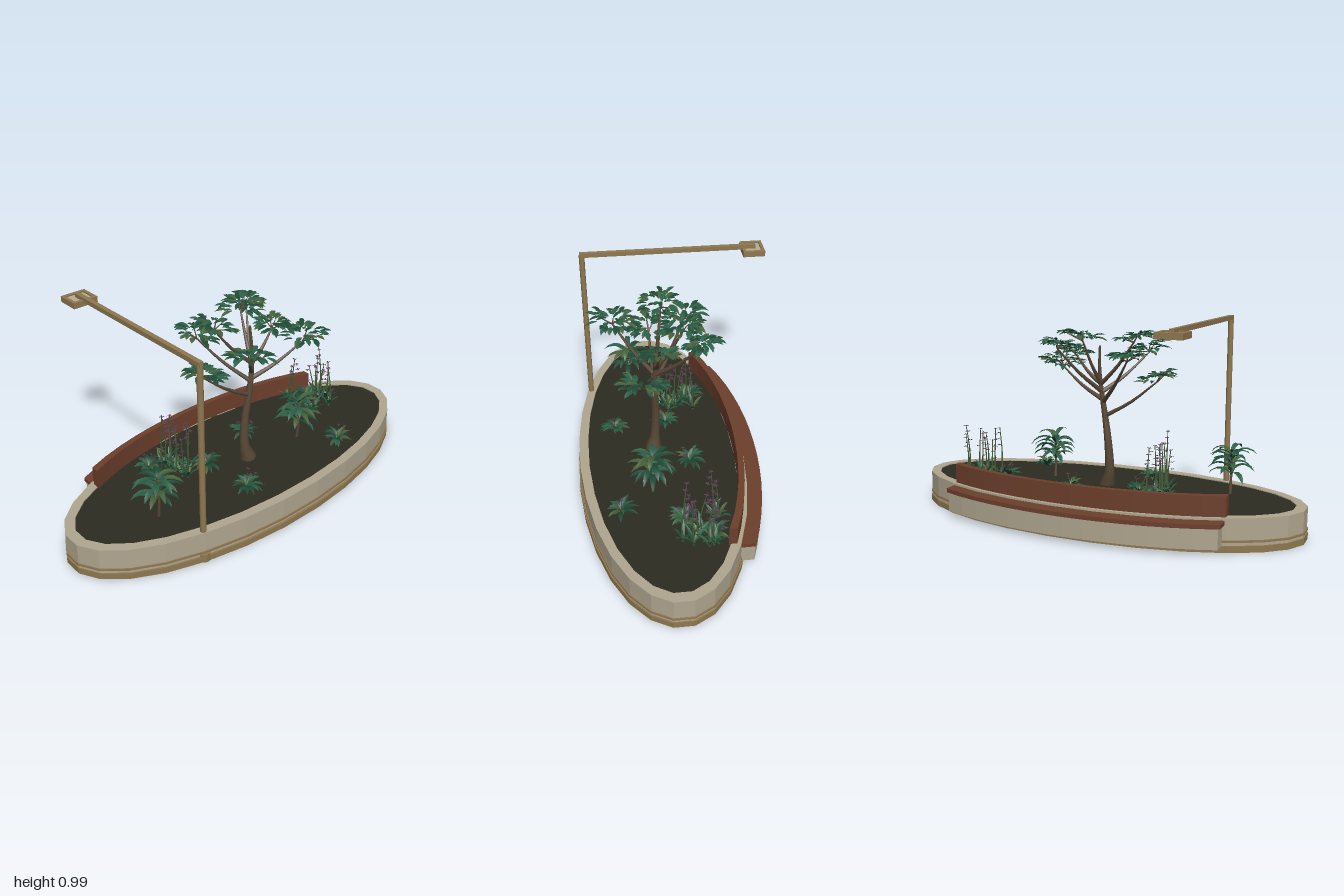
import * as THREE from 'three';
import { mergeGeometries } from 'three/addons/utils/BufferGeometryUtils.js';

const mat = (name, color, extra = {}) => {
  const m = new THREE.MeshStandardMaterial({ color, ...extra });
  m.name = name;
  return m;
};

export function createModel() {
  const model = new THREE.Group();
  const M = {
    stone: mat('pale stone', 0xb0a68f),
    soil: mat('dark soil', 0x2c2b20),
    wood: mat('red brown wood', 0x6c3f2c),
    brass: mat('aged brass', 0x8e7850),
    panel: mat('lamp panel', 0xb9ad90),
    bark: mat('bark', 0x5a4a38),
    dark: mat('dark leaf', 0x1f4a36, { side: THREE.DoubleSide }),
    mid: mat('mid leaf', 0x2c5f45, { side: THREE.DoubleSide }),
    olive: mat('olive leaf', 0x47603a, { side: THREE.DoubleSide }),
    flower: mat('plum flower', 0x5b3557, { side: THREE.DoubleSide }),
  };
  const leafMats = [M.dark, M.mid, M.dark, M.olive, M.mid];
  let seed = 7;
  const rnd = () => (seed = (seed * 16807) % 2147483647) / 2147483647;
  const span = (a, b) => a + (b - a) * rnd();
  const V = (x, y, z) => new THREE.Vector3(x, y, z);

  const add = (name, geo, material, parent = model) => {
    const mesh = new THREE.Mesh(geo, material);
    mesh.name = name;
    parent.add(mesh);
    return mesh;
  };
  const box = (name, w, h, d, x, y, z, m) => add(name, new THREE.BoxGeometry(w, h, d), m).position.set(x, y, z);

  // Elliptical planter, faceted in 28 sides
  const CX = 0.085, SIDES = 28;
  const ellipse = (a, b, n = SIDES) => Array.from({ length: n }, (_, i) => {
    const t = (i + 0.5) / n * Math.PI * 2, k = 1 / Math.cos(Math.PI / n);
    return new THREE.Vector2(CX + a * k * Math.cos(t), b * k * Math.sin(t));
  });
  const slab = (name, outline, y0, y1, m, hole) => {
    const shape = new THREE.Shape(outline);
    if (hole) shape.holes.push(new THREE.Path(hole));
    const g = new THREE.ExtrudeGeometry(shape, { depth: y1 - y0, bevelEnabled: false });
    g.rotateX(-Math.PI / 2).translate(0, y0, 0);
    return add(name, g, m);
  };
  slab('plinth', ellipse(0.415, 1.0), 0, 0.03, M.brass);
  slab('planterWall', ellipse(0.405, 0.995), 0.03, 0.155, M.stone, ellipse(0.36, 0.945));
  slab('trimBand', ellipse(0.411, 1.0), 0.045, 0.055, M.brass, ellipse(0.39, 0.97));
  slab('soil', ellipse(0.362, 0.947), 0.03, 0.15, M.soil);

  // Curved bench and backrest on the -x side, following the ellipse
  const band = (ao, bo, ai, bi, zMax = 0.7, n = 14) => {
    const out = [], inn = [];
    for (let i = 0; i <= n; i++) {
      const z = zMax * (2 * i / n - 1);
      out.push(new THREE.Vector2(CX - ao * Math.sqrt(1 - (z / bo) ** 2), z));
      inn.unshift(new THREE.Vector2(CX - ai * Math.sqrt(1 - (z / bi) ** 2), z));
    }
    return [...out, ...inn];
  };
  slab('benchBody', band(0.475, 1.046, 0.398, 0.985, 0.69), 0.03, 0.125, M.stone);
  slab('benchSeat', band(0.48, 1.046, 0.4, 0.99), 0.125, 0.145, M.wood);
  slab('backrest', band(0.39, 0.975, 0.362, 0.915), 0.15, 0.25, M.wood);

  // Lamp post with long arm and square head
  const LZ = 0.53, LX = 0.414;
  add('lampPole', new THREE.CylinderGeometry(0.014, 0.014, 0.98, 12), M.brass).position.set(LX, 0.49, LZ);
  add('lampCollar', new THREE.CylinderGeometry(0.031, 0.031, 0.04, 12), M.brass).position.set(LX, 0.02, LZ);
  box('lampArm', 0.885, 0.022, 0.022, -0.0175, 0.981, LZ, M.brass);
  for (const s of [-1, 1]) {
    box('lampHeadSide', 0.11, 0.028, 0.016, -0.445, 0.966, LZ + s * 0.054, M.brass);
    box('lampHeadEnd', 0.016, 0.028, 0.1, -0.445 + s * 0.047, 0.966, LZ, M.brass);
  }
  box('lampPanel', 0.08, 0.014, 0.094, -0.445, 0.966, LZ, M.panel);

  // Tapered limb along a smooth curve
  const limb = (pts, r0, r1, sides = 7, n = 10, flare = 0) => {
    const curve = new THREE.CatmullRomCurve3(pts);
    const g = new THREE.TubeGeometry(curve, n, 1, sides);
    const pos = g.attributes.position, v = V(0, 0, 0);
    for (let i = 0; i < pos.count; i++) {
      const u = Math.floor(i / (sides + 1)) / n, c = curve.getPointAt(u);
      const r = r0 + (r1 - r0) * u + flare * Math.max(0, 1 - u * 9);
      v.fromBufferAttribute(pos, i).sub(c).multiplyScalar(r).add(c);
      pos.setXYZ(i, v.x, v.y, v.z);
    }
    return g;
  };

  // Folded leaf blade: arches out from p, drooping toward the tip
  const blade = (p, yaw, pitch, len, width, droop = 0.6, n = 4) => {
    const verts = [], index = [], c = p.clone();
    const side = V(-Math.sin(yaw), 0, Math.cos(yaw));
    for (let i = 0; i <= n; i++) {
      const u = i / n, w = width * Math.sin(Math.PI * (0.06 + 0.94 * u)) ** 0.8 / 2;
      const a = pitch - droop * u * 2;
      for (const s of [-1, 0, 1])
        verts.push(c.x + side.x * s * w, c.y + Math.abs(s) * w * 0.35, c.z + side.z * s * w);
      c.add(V(Math.cos(yaw) * Math.cos(a), Math.sin(a), Math.sin(yaw) * Math.cos(a)).multiplyScalar(len / n));
      if (i < n) for (const k of [0, 1]) {
        const b = i * 3 + k;
        index.push(b, b + 1, b + 3, b + 1, b + 4, b + 3);
      }
    }
    const g = new THREE.BufferGeometry();
    g.setAttribute('position', new THREE.Float32BufferAttribute(verts, 3));
    g.setIndex(index);
    g.computeVertexNormals();
    return g;
  };
  // Spreads a list of blades over the leaf colours
  const foliage = (name, blades) => leafMats.slice(0, 5).forEach((m, k) => {
    const part = blades.filter((_, i) => i % 5 === k);
    if (part.length) add(name, mergeGeometries(part), m);
  });

  // Tree trunk, limbs and leaf pads
  const fork = V(0.11, 0.5, -0.01), crown = V(0.105, 0.66, -0.03);
  add('treeTrunk', limb([V(0.12, 0.15, 0), V(0.11, 0.22, 0.015), V(0.105, 0.36, 0.01), V(0.11, 0.5, -0.01),
    V(0.108, 0.6, -0.025), V(0.1, 0.72, -0.035), V(0.09, 0.85, -0.03)], 0.026, 0.005, 9, 20, 0.018), M.bark);
  // centre x, y, z, radius x, radius z, limb root
  const pads = [
    [0.11, 0.70, 0.26, 0.09, 0.07, fork], [0.19, 0.74, -0.28, 0.11, 0.1, V(0.108, 0.58, -0.02)],
    [0.29, 0.82, 0.15, 0.1, 0.09, V(0.108, 0.62, -0.025)], [-0.05, 0.81, 0.17, 0.1, 0.07, V(0.108, 0.57, -0.02)],
    [0.06, 0.89, 0.16, 0.09, 0.07, crown], [-0.02, 0.895, -0.07, 0.09, 0.1, crown],
    [-0.09, 0.86, -0.17, 0.07, 0.06, V(0.108, 0.62, -0.025)], [0.1, 0.81, -0.16, 0.07, 0.05, crown],
  ];
  const limbs = [], leaves = [];
  for (const [x, y, z, rx, rz, root] of pads) {
    const tip = V(x, y - 0.015, z), mid = root.clone().lerp(tip, 0.5).add(V(0, -0.015, 0));
    limbs.push(limb([root, mid, tip], 0.012, 0.004, 6, 6));
    const out = V(x - 0.1, 0, z).normalize();
    for (let i = 0; i < 44; i++) {
      const t = rnd() * Math.PI * 2, r = Math.sqrt(rnd()) * 0.8;
      const dx = Math.cos(t) * r * rx, dz = Math.sin(t) * r * rz;
      const p = V(x + dx, y + 0.02 * (1 - r * r) + span(-0.01, 0.01) + (dx * out.x + dz * out.z) * 0.3, z + dz);
      leaves.push(blade(p, t + span(-0.5, 0.5), span(-0.1, 0.45), span(0.045, 0.065), span(0.02, 0.028), 0.3));
      if (i % 11 === 0) limbs.push(limb([tip, tip.clone().lerp(p, 0.5), p], 0.004, 0.002, 4, 2));
    }
  }
  add('treeLimbs', mergeGeometries(limbs), M.bark);
  foliage('treeLeaves', leaves);

  // Broad-leaved shrubs on short stems
  for (const [x, z] of [[0.2, 0.61], [0.15, -0.31]]) {
    const b = [];
    add('shrubStem', limb([V(x, 0.15, z), V(x + 0.008, 0.24, z), V(x, 0.36, z)], 0.008, 0.004, 6, 6), M.bark);
    for (let i = 0; i < 24; i++)
      b.push(blade(V(x, 0.24 + 0.12 * i / 23, z), i * 2.4, span(0.5, 1.0), span(0.11, 0.15), 0.03, 0.85, 5));
    foliage('shrubLeaves', b);
  }

  // Low ferny clumps with small flower sprigs
  const clumps = [[-0.12, 0.43], [0.31, -0.44], [-0.1, -0.63], [0.3, 0.17], [0.04, 0.2], [-0.05, -0.12], [0.03, -0.52]];
  const clumpBlades = [], sprigs = [], petals = [];
  const blossom = (p, size) => {
    for (let k = 0; k < 4; k++) petals.push(blade(p, k * 1.57 + rnd(), 0.3, size, size * 0.5, 0.2, 2));
  };
  for (const [x, z] of clumps) {
    for (let i = 0; i < 18; i++)
      clumpBlades.push(blade(V(x, 0.15, z), i * 2.4, span(0.5, 1.2), span(0.07, 0.1), 0.022, 0.7));
    for (let i = 0; i < 4; i++) {
      const p = V(x + span(-0.035, 0.035), span(0.2, 0.235), z + span(-0.035, 0.035));
      sprigs.push(limb([V(x, 0.15, z), p], 0.002, 0.001, 4, 2));
      blossom(p, 0.012);
    }
  }

  // Tall flowering stalks with strap leaves at their feet
  const stalks = [];
  for (const [cx, cz, rx, rz, n] of [[-0.03, 0.33, 0.09, 0.04, 9], [-0.04, -0.6, 0.09, 0.1, 9]])
    for (let i = 0; i < n; i++) {
      const x = cx + rx * (2 * i / (n - 1) - 1), z = cz + span(-rz, rz), h = span(0.35, 0.46);
      const top = V(x + span(-0.02, 0.02), h, z + span(-0.01, 0.01));
      stalks.push(limb([V(x, 0.15, z), V(x + 0.006, (h + 0.15) / 2, z), top], 0.005, 0.002, 5, 5));
      for (let k = 0; k < 4; k++) {
        const p = top.clone().add(V(k ? span(-0.015, 0.015) : 0, -0.03 * k, k ? span(-0.015, 0.015) : 0));
        blossom(p, 0.015);
      }
      for (let k = 0; k < 5; k++)
        clumpBlades.push(blade(V(x, 0.15, z), k * 1.26 + i, span(0.9, 1.35), span(0.07, 0.11), 0.018, 0.45));
    }
  foliage('groundLeaves', clumpBlades);
  add('flowerStalks', mergeGeometries([...stalks, ...sprigs]), M.olive);
  add('blossoms', mergeGeometries(petals), M.flower);
  return model;
}
